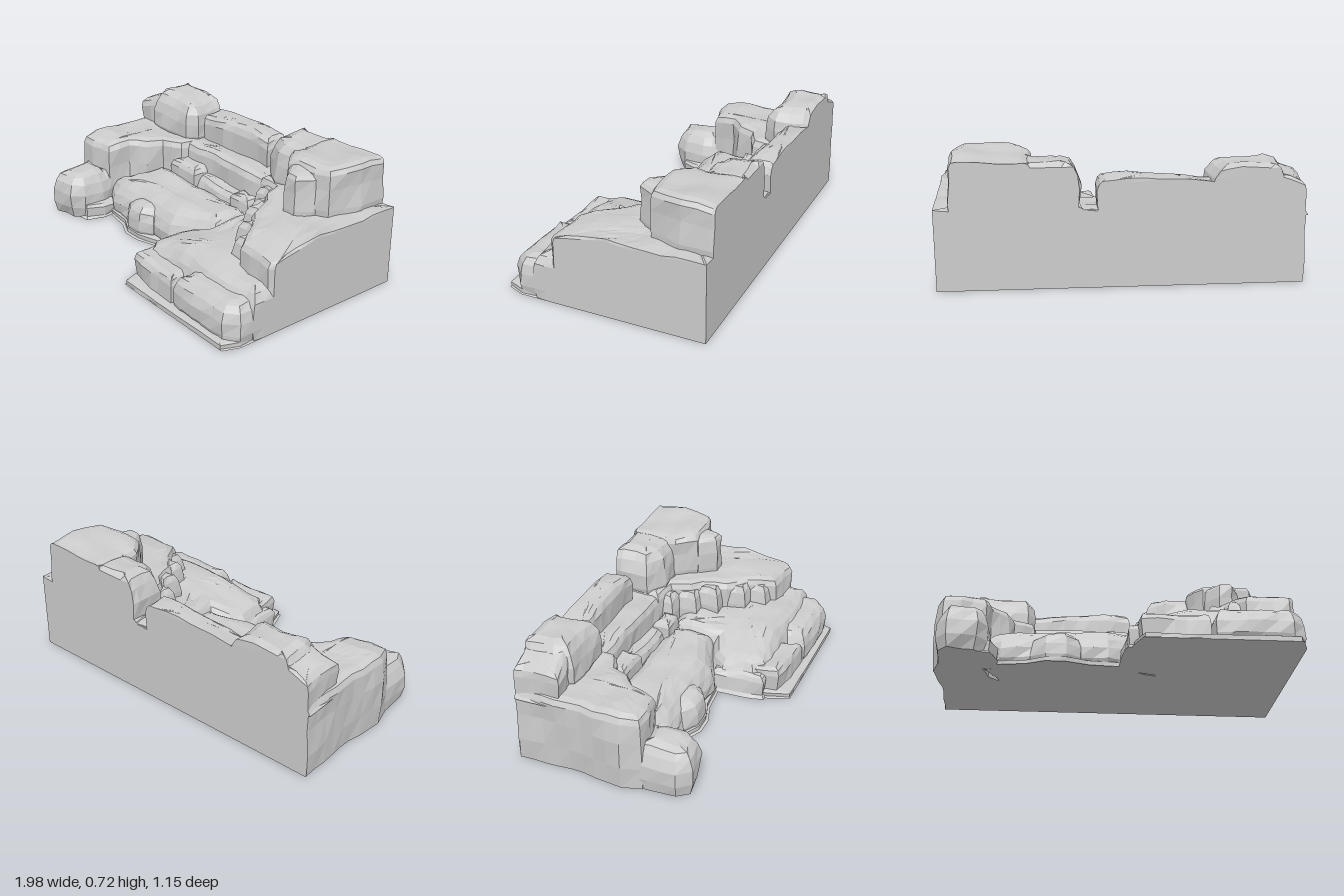
import * as THREE from 'three';

const material = new THREE.MeshStandardMaterial({ color: 0xcccccc, flatShading: true });

// Smooth, repeatable unevenness of the stone
const bump = (x, y, z) =>
  0.5 * Math.sin(13 * x + 7 * z + 5 * y) + 0.3 * Math.sin(23 * z - 11 * x + 9 * y) + 0.3 * Math.sin(31 * x + 17 * y - 3 * z);

// Wall profiles: [share of the height, outward offset]
const CLIFF = [[0, 0], [0.3, 0.012], [0.65, 0.008], [0.9, 0.004], [0.97, -0.012], [1, -0.045]];
const BOULDER = [[0, -0.01], [0.25, 0.012], [0.55, 0.01], [0.78, -0.008], [0.93, -0.04], [1, -0.085]];
const SLAB = [[0, 0.015], [0.15, 0], [0.75, 0], [0.92, -0.015], [1, -0.04]];

// Split the outline into short edges, in one fixed direction
function resample(outline, step) {
  const pts = outline.map(([x, z]) => new THREE.Vector2(x, z));
  if (THREE.ShapeUtils.area(pts) < 0) pts.reverse();
  const out = [];
  pts.forEach((p, i) => {
    const q = pts[(i + 1) % pts.length];
    const n = Math.max(1, Math.round(p.distanceTo(q) / step));
    for (let k = 0; k < n; k++) out.push(p.clone().lerp(q, k / n));
  });
  return out;
}

// A rock: wall rings that follow an outline, closed by rings to the middle
function rock(name, outline, y0, top, profile = CLIFF, rough = 0.012) {
  const pts = resample(outline, 0.075);
  const n = pts.length;
  const topAt = typeof top === 'function' ? top : () => top;
  const mid = pts.reduce((s, p) => s.add(p), new THREE.Vector2()).divideScalar(n);
  const normals = pts.map((p, i) => {
    const t = pts[(i + 1) % n].clone().sub(pts[(i + n - 1) % n]).normalize();
    return new THREE.Vector2(t.y, -t.x);
  });
  const rings = [[0, profile[0][1], 1], ...profile.map(([f, o]) => [f, o, 0])];
  for (const t of [0.25, 0.5, 0.75, 1]) rings.push([1, profile.at(-1)[1], t]);
  const pos = [];
  const index = [];
  rings.forEach(([f, offset, t], r) => {
    pts.forEach((p, i) => {
      const q = p.clone().addScaledVector(normals[i], offset).lerp(mid, t);
      const b = bump(q.x, f * 0.7, q.y) * rough;
      const keep = 1 - t;
      const x = q.x + normals[i].x * b * keep;
      const z = q.y + normals[i].y * b * keep;
      const y = y0 + f * (topAt(q.x, q.y) - y0 + bump(q.y + 2, 0, q.x) * rough);
      // back and right side are cut flat
      pos.push(THREE.MathUtils.clamp(x, -1, 0.975), Math.max(0, y), THREE.MathUtils.clamp(z, -0.575, 0.575));
      if (r === 0) return;
      const j = (i + 1) % n;
      const a = (r - 1) * n + i, c = (r - 1) * n + j;
      index.push(a, r * n + i, c, c, r * n + i, r * n + j);
    });
  });
  const geometry = new THREE.BufferGeometry();
  geometry.setAttribute('position', new THREE.Float32BufferAttribute(pos, 3));
  geometry.setIndex(index);
  geometry.computeVertexNormals();
  const mesh = new THREE.Mesh(geometry, material);
  mesh.name = name;
  return mesh;
}

const box = (x0, x1, z0, z1) => [[x0, z0], [x1, z0], [x1, z1], [x0, z1]];

export function createModel() {
  const group = new THREE.Group();
  group.name = 'rockCliff';
  const add = (...args) => group.add(rock(...args));

  // Main shelf around the recess
  add('leftShelf', [[-0.96, -0.64], [-0.4, -0.64], [-0.45, -0.25], [-0.57, -0.2], [-0.6, -0.1], [-0.69, -0.03],
    [-0.72, 0.1], [-0.85, 0.14], [-0.95, 0.13], [-0.99, 0.03], [-0.96, -0.2]], 0, (x, z) => 0.44 - 0.1 * Math.max(0, z));
  add('backShelf', box(-0.5, 0.32, -0.64, -0.3), 0, 0.43);
  add('rightShelf', [[0.2, -0.64], [1.02, -0.64], [1.02, 0.27], [0.95, 0.29], [0.72, 0.26], [0.62, 0.12], [0.52, 0.02], [0.47, -0.12],
    [0.41, -0.17], [0.37, -0.28], [0.22, -0.3]], 0, (x, z) => 0.45 - 0.12 * Math.max(0, z));

  // Columns along the inner wall of the right shelf
  for (const [x, z, h] of [[0.3, -0.26, 0.41], [0.4, -0.15, 0.4], [0.47, -0.04, 0.42], [0.57, 0.1, 0.41], [0.66, 0.2, 0.39]])
    add('wallColumn', box(x - 0.05, x + 0.08, z - 0.1, z + 0.04), 0, h, SLAB, 0.008);

  // Steps at the back of the recess
  add('backStep', box(-0.58, 0.28, -0.36, -0.21), 0, 0.29, SLAB);
  add('stepBlock', box(-0.47, -0.25, -0.33, -0.19), 0.2, 0.34, SLAB, 0.008);
  add('stepBlock', box(0.1, 0.25, -0.28, -0.18), 0.2, 0.335, SLAB, 0.008);

  // Lower terraces
  add('lowerTerrace', [[-0.6, -0.24], [0.27, -0.24], [0.25, 0.05], [0.1, 0.1], [-0.04, 0.15], [-0.2, 0.14], [-0.45, 0.14],
    [-0.62, 0.13], [-0.72, 0.08], [-0.66, -0.05]], 0,
  (x, z) => 0.26 - 0.35 * Math.max(0, z) - 0.2 * Math.max(0, -0.5 - x), BOULDER);
  add('terraceBulge', [[-0.5, 0], [-0.15, 0], [-0.2, 0.15], [-0.27, 0.2], [-0.38, 0.2], [-0.45, 0.15]], 0, 0.2, BOULDER);
  add('terraceFoot', [[-0.66, 0], [0.1, 0], [0.05, 0.15], [-0.15, 0.17], [-0.27, 0.21], [-0.38, 0.21], [-0.48, 0.16], [-0.65, 0.14]],
    0, 0.04, SLAB, 0.004);
  add('rightTerrace', [[0.2, -0.24], [0.5, -0.24], [0.8, 0.15], [1.0, 0.2], [0.98, 0.4], [0.85, 0.44], [0.46, 0.42],
    [0.14, 0.42], [0.07, 0.36], [0.06, 0.17], [0.12, 0.09], [0.22, 0.05]], 0,
  (x, z) => 0.285 - 0.25 * Math.max(0, 0.4 - x) * (z > 0 ? 1 : 0.4) - 0.15 * Math.max(0, z - 0.25), BOULDER);
  add('terraceEdge', [[0.03, 0.12], [0.2, 0.1], [0.2, 0.42], [0.05, 0.43], [0.04, 0.3]], 0, 0.14, SLAB);
  add('frontSlab', [[0.09, 0.34], [0.46, 0.34], [0.47, 0.53], [0.28, 0.52], [0.11, 0.5]], 0, 0.17, SLAB);
  add('frontSlab', [[0.47, 0.27], [0.98, 0.25], [0.97, 0.48], [0.9, 0.54], [0.5, 0.53]], 0, 0.225, BOULDER);
  add('frontFoot', [[0.06, 0.2], [0.95, 0.2], [0.97, 0.48], [0.93, 0.58], [0.12, 0.57], [0.08, 0.45]], 0, 0.035, SLAB, 0.004);

  // Boulder before the left shelf
  add('leftBoulder', [[-0.95, 0.09], [-0.72, 0.07], [-0.69, 0.18], [-0.7, 0.3], [-0.75, 0.36], [-0.9, 0.39], [-0.95, 0.32]],
    0, 0.275, BOULDER);
  add('boulderFoot', [[-0.8, 0.08], [-0.65, 0.1], [-0.64, 0.2], [-0.68, 0.3], [-0.8, 0.32]], 0, 0.1, SLAB);

  // Rocks on top of the shelf
  add('backRidge', box(-0.5, 0.13, -0.62, -0.43), 0.38, (x) => 0.585 + 0.02 * Math.cos(6 * (x + 0.1)), SLAB);
  add('topLeftBoulder', [[-0.84, -0.62], [-0.47, -0.62], [-0.45, -0.38], [-0.49, -0.32], [-0.8, -0.32], [-0.85, -0.4]],
    0.38, (x) => 0.66 - 0.12 * Math.max(0, x + 0.62), BOULDER);
  add('topLeftSideRock', [[-0.96, -0.6], [-0.78, -0.6], [-0.78, -0.34], [-0.95, -0.32]], 0.38, (x) => 0.6 + 0.4 * (x + 0.85), SLAB);
  add('topRightBoulder', [[0.23, -0.62], [0.56, -0.64], [0.56, -0.32], [0.34, -0.31], [0.23, -0.38]], 0.38, 0.69, BOULDER);
  add('topRightTower', [[0.47, -0.64], [0.88, -0.64], [0.89, -0.4], [0.84, -0.22], [0.75, -0.19], [0.56, -0.2], [0.48, -0.3]],
    0.38, (x) => 0.7 + 0.06 * (x - 0.6), CLIFF);
  add('towerSpur', [[0.53, -0.3], [0.82, -0.3], [0.76, -0.18], [0.71, -0.1], [0.64, -0.1], [0.58, -0.18]], 0.38, 0.675, CLIFF);
  return group;
}
